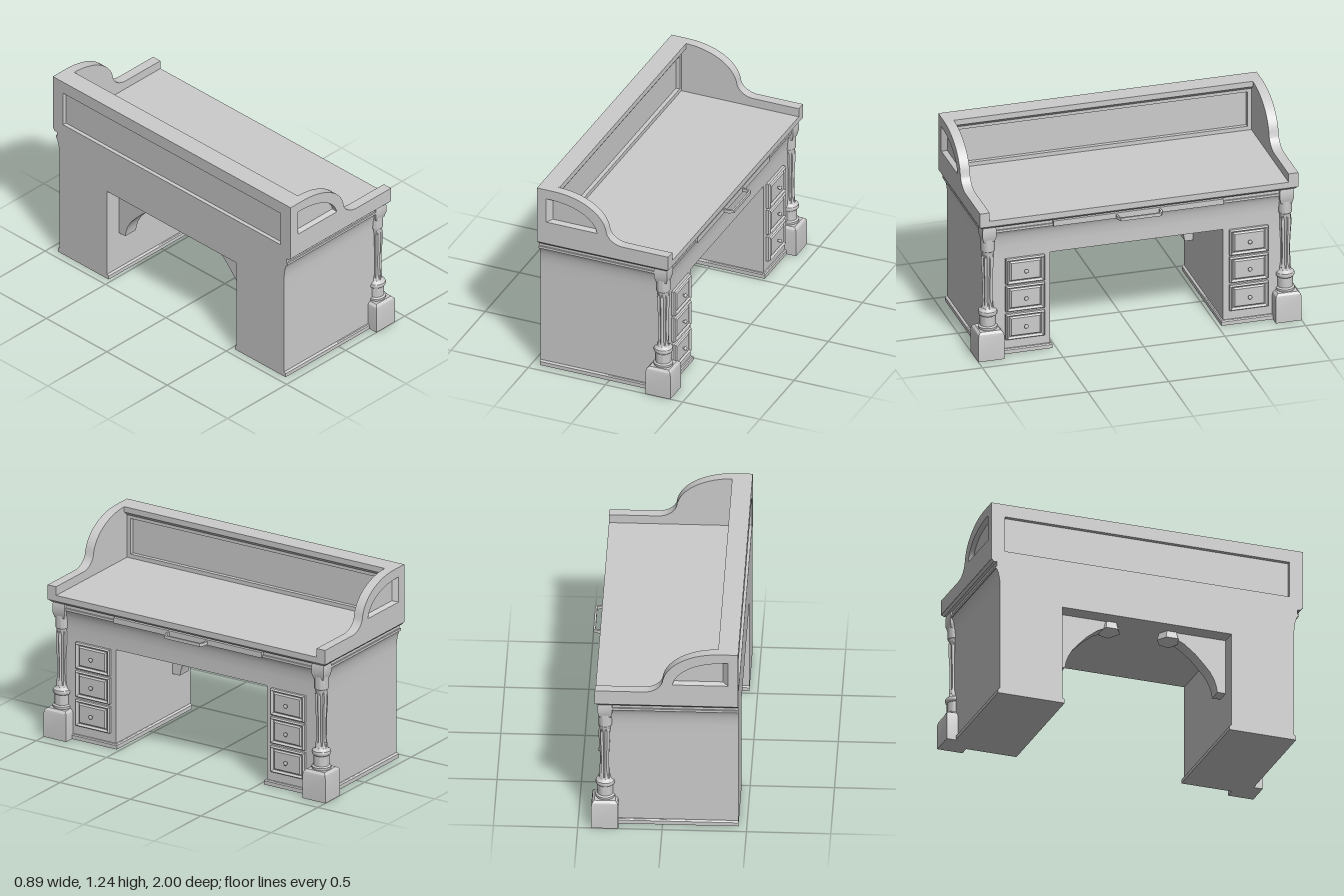
import * as THREE from 'three';
import { toCreasedNormals } from 'three/addons/utils/BufferGeometryUtils.js';

const grey = new THREE.MeshStandardMaterial({ color: 0xcccccc });
const greyDouble = new THREE.MeshStandardMaterial({ color: 0xcccccc, side: THREE.DoubleSide });

function add(parent, name, geometry, x = 0, y = 0, z = 0, material = grey) {
  const mesh = new THREE.Mesh(geometry, material);
  mesh.name = name;
  mesh.position.set(x, y, z);
  parent.add(mesh);
  return mesh;
}

// Box given by its limits on each axis
function box(parent, name, x0, x1, y0, y1, z0, z1) {
  return add(parent, name, new THREE.BoxGeometry(x1 - x0, y1 - y0, z1 - z0),
    (x0 + x1) / 2, (y0 + y1) / 2, (z0 + z1) / 2);
}

// Stack of rectangles [y, x0, x1, z0, z1] joined into a closed solid
function loftRect(rings) {
  const pos = [];
  const corner = ([y, x0, x1, z0, z1], j) =>
    [[x0, y, z0], [x0, y, z1], [x1, y, z1], [x1, y, z0]][j % 4];
  const quad = (a, b, c, d) => pos.push(...a, ...b, ...c, ...a, ...c, ...d);
  for (let i = 0; i < rings.length - 1; i++) {
    for (let j = 0; j < 4; j++) {
      quad(corner(rings[i], j), corner(rings[i], j + 1),
        corner(rings[i + 1], j + 1), corner(rings[i + 1], j));
    }
  }
  const lo = rings[0], hi = rings[rings.length - 1];
  quad(corner(hi, 0), corner(hi, 1), corner(hi, 2), corner(hi, 3));
  quad(corner(lo, 3), corner(lo, 2), corner(lo, 1), corner(lo, 0));
  const g = new THREE.BufferGeometry();
  g.setAttribute('position', new THREE.Float32BufferAttribute(pos, 3));
  g.computeVertexNormals();
  return toCreasedNormals(g, 0.45);
}

const squareRing = ([y, h]) => [y, -h, h, -h, h];
const extrude = (shape, depth) => toCreasedNormals(
  new THREE.ExtrudeGeometry(shape, { depth, bevelEnabled: false, curveSegments: 14 }), 0.5);
const polygon = (pts) => new THREE.Shape(pts.map(([x, y]) => new THREE.Vector2(x, y)));

// Arched window outline in the gallery sides
function windowPoints() {
  const s = new THREE.Shape();
  s.moveTo(-0.39, 1.015);
  s.lineTo(-0.06, 1.015);
  s.bezierCurveTo(-0.075, 1.09, -0.17, 1.175, -0.39, 1.175);
  return s.getPoints(16);
}

// Raised side of the gallery, with a sunken arched window on its outer face
function gallerySide(parent, s) {
  const group = new THREE.Group();
  group.name = s > 0 ? 'gallerySideLeft' : 'gallerySideRight';
  parent.add(group);
  const outline = () => {
    const o = new THREE.Shape();
    o.moveTo(-0.45, 0.868);
    o.lineTo(0.40, 0.868);
    o.lineTo(0.40, 0.96);
    o.lineTo(0.11, 0.96);
    o.bezierCurveTo(0.05, 0.96, 0.01, 0.995, 0, 1.03);
    o.bezierCurveTo(-0.015, 1.15, -0.16, 1.235, -0.34, 1.235);
    o.lineTo(-0.45, 1.235);
    o.closePath();
    return o;
  };
  const pts = windowPoints();
  const outer = outline();
  outer.holes.push(new THREE.Path(pts));
  add(group, 'windowFrame', extrude(outer, 0.03), 0, 0, s > 0 ? 0.955 : -0.985);
  add(group, 'innerBoard', extrude(outline(), 0.03), 0, 0, s > 0 ? 0.925 : -0.955);
  // Sloping reveal between the outline and the smaller sunken field
  const pos = [], index = [];
  pts.forEach((p, i) => {
    pos.push(p.x, p.y, s * 0.985);
    pos.push(-0.36 + (p.x + 0.39) * 0.89, 1.027 + (p.y - 1.015) * 0.84, s * 0.956);
    const a = 2 * i, b = 2 * ((i + 1) % pts.length);
    index.push(a, b, a + 1, b, b + 1, a + 1);
  });
  const g = new THREE.BufferGeometry();
  g.setAttribute('position', new THREE.Float32BufferAttribute(pos, 3));
  g.setIndex(index);
  const reveal = g.toNonIndexed();
  reveal.computeVertexNormals();
  add(group, 'windowReveal', toCreasedNormals(reveal, 0.4), 0, 0, 0, greyDouble);
}

// Turned leg: square foot, fluted baluster and square head
function leg(parent, z) {
  const group = new THREE.Group();
  group.name = z > 0 ? 'legLeft' : 'legRight';
  group.position.set(0.34, 0, z);
  parent.add(group);
  add(group, 'foot', loftRect([[0, 0.08], [0.155, 0.08], [0.172, 0.076], [0.185, 0.062]].map(squareRing)));
  const profile = [[0.055, 0.18], [0.058, 0.19], [0.058, 0.2], [0.047, 0.207], [0.047, 0.27],
    [0.055, 0.277], [0.058, 0.288], [0.055, 0.3], [0.044, 0.306], [0.036, 0.315], [0.033, 0.36],
    [0.031, 0.42], [0.031, 0.48], [0.034, 0.54], [0.038, 0.6], [0.038, 0.645], [0.034, 0.675],
    [0.036, 0.685], [0.041, 0.69], [0.041, 0.77]];
  const shaft = new THREE.LatheGeometry(profile.map(([r, y]) => new THREE.Vector2(r, y)), 32);
  const p = shaft.attributes.position;
  for (let i = 0; i < p.count; i++) {
    const x = p.getX(i), y = p.getY(i), zz = p.getZ(i);
    if (y < 0.32 || y > 0.67) continue;
    const k = 1.04 - 0.13 * (1 - Math.cos(8 * Math.atan2(zz, x)));
    p.setXYZ(i, x * k, y, zz * k);
  }
  add(group, 'flutedShaft', toCreasedNormals(shaft, 0.6));
  add(group, 'head', loftRect([[0.755, 0.034], [0.77, 0.038], [0.79, 0.043], [0.835, 0.043], [0.857, 0.038]].map(squareRing)));
}

function drawer(parent, y, z) {
  const group = new THREE.Group();
  group.name = 'drawer';
  group.position.set(0.345, y, z);
  parent.add(group);
  // Moulded front: [height off the carcass, half height, half width]
  const front = loftRect([[-0.01, 0.083, 0.12], [0.016, 0.083, 0.12], [0.026, 0.076, 0.113],
    [0.012, 0.066, 0.1], [0.012, 0.063, 0.097], [0.022, 0.055, 0.089]]
    .map(([d, h, w]) => [d, -h, h, -w, w]));
  add(group, 'drawerFront', front.rotateZ(-Math.PI / 2));
  const knob = new THREE.LatheGeometry([[0.006, 0], [0.006, 0.01], [0.012, 0.014],
    [0.013, 0.02], [0.009, 0.025], [0, 0.026]].map(([r, h]) => new THREE.Vector2(r, h)), 12);
  add(group, 'knob', knob.rotateZ(-Math.PI / 2), 0.02);
}

// Arched bracket with a faceted pendant at its tip
function bracket(parent, s) {
  const pts = [[0.54, 0.28], [0.483, 0.28], [0.475, 0.32], [0.461, 0.36], [0.435, 0.405],
    [0.4, 0.445], [0.343, 0.505], [0.273, 0.56], [0.22, 0.585], [0.2, 0.63], [0.54, 0.63]];
  const shape = polygon(pts.map(([z, y]) => [-s * z, y]));
  add(parent, 'archBracket', extrude(shape, 0.09).rotateY(Math.PI / 2), -0.35);
  const pendant = new THREE.Group();
  pendant.name = 'pendant';
  pendant.position.set(-0.305, 0, s * 0.19);
  parent.add(pendant);
  add(pendant, 'pendantCollar', new THREE.CylinderGeometry(0.06, 0.073, 0.05, 6).toNonIndexed(), 0, 0.605);
  add(pendant, 'pendantTip', new THREE.CylinderGeometry(0.073, 0, 0.04, 6).toNonIndexed(), 0, 0.56);
  pendant.children.forEach((m) => m.geometry.computeVertexNormals());
}

export function createModel() {
  const desk = new THREE.Group();
  desk.name = 'desk';

  // Apron with a coved top, bead and chamfered cornice: [y, front x, half z]
  const apron = [[0.625, 0.345, 0.93], [0.7, 0.345, 0.93], [0.73, 0.347, 0.932], [0.76, 0.351, 0.936],
    [0.785, 0.357, 0.942], [0.802, 0.364, 0.949], [0.81, 0.37, 0.955], [0.81, 0.375, 0.96],
    [0.825, 0.375, 0.96], [0.825, 0.366, 0.951], [0.853, 0.366, 0.951], [0.853, 0.385, 0.97], [0.87, 0.4, 0.985]];
  add(desk, 'apron', loftRect(apron.map(([y, x, z]) => [y, -0.45, x, -z, z])));
  box(desk, 'desktop', -0.45, 0.4, 0.868, 0.905, -0.925, 0.925);

  // Gallery back: framed wall with a panel sunk on both faces, and a cap
  const wall = polygon([[-0.925, 0.9], [0.925, 0.9], [0.925, 1.2], [-0.925, 1.2]]);
  wall.holes.push(new THREE.Path([[-0.9, 0.93], [-0.9, 1.155], [0.9, 1.155], [0.9, 0.93]]
    .map(([x, y]) => new THREE.Vector2(x, y))));
  add(desk, 'galleryBackFrame', extrude(wall, 0.09).rotateY(Math.PI / 2), -0.45);
  box(desk, 'galleryBackPanel', -0.425, -0.385, 0.92, 1.165, -0.91, 0.91);
  const cap = polygon([[-0.45, 1.19], [-0.45, 1.235], [-0.33, 1.235], [-0.33, 1.2], [-0.36, 1.175], [-0.38, 1.175]]);
  add(desk, 'galleryCap', extrude(cap, 1.85), 0, 0, -0.925);

  // Centre drawer and its pull handle
  box(desk, 'centreDrawer', 0.34, 0.387, 0.81, 0.845, -0.525, 0.525);
  const pull = polygon([[0.38, -0.14], [0.415, -0.14], [0.445, -0.125], [0.445, 0.125], [0.415, 0.14], [0.38, 0.14],
    [0.38, 0.128], [0.413, 0.128], [0.433, 0.117], [0.433, -0.117], [0.413, -0.128], [0.38, -0.128]]);
  add(desk, 'pullHandle', extrude(pull, 0.02).rotateX(Math.PI / 2), 0, 0.835);

  for (const s of [1, -1]) {
    gallerySide(desk, s);
    const [z0, z1] = s > 0 ? [0.535, 0.93] : [-0.93, -0.535];
    box(desk, 'pedestal', -0.45, 0.345, 0, 0.63, z0, z1);
    add(desk, 'skirting', loftRect([[0, 0.013], [0.024, 0.013], [0.03, 0.007], [0.032, 0]]
      .map(([y, d]) => [y, -0.45, 0.345 + d, z0 - d, z1 + d])));
    for (const y of [0.537, 0.358, 0.175]) drawer(desk, y, s * 0.692);
    bracket(desk, s);
    leg(desk, s * 0.92);
  }
  return desk;
}
